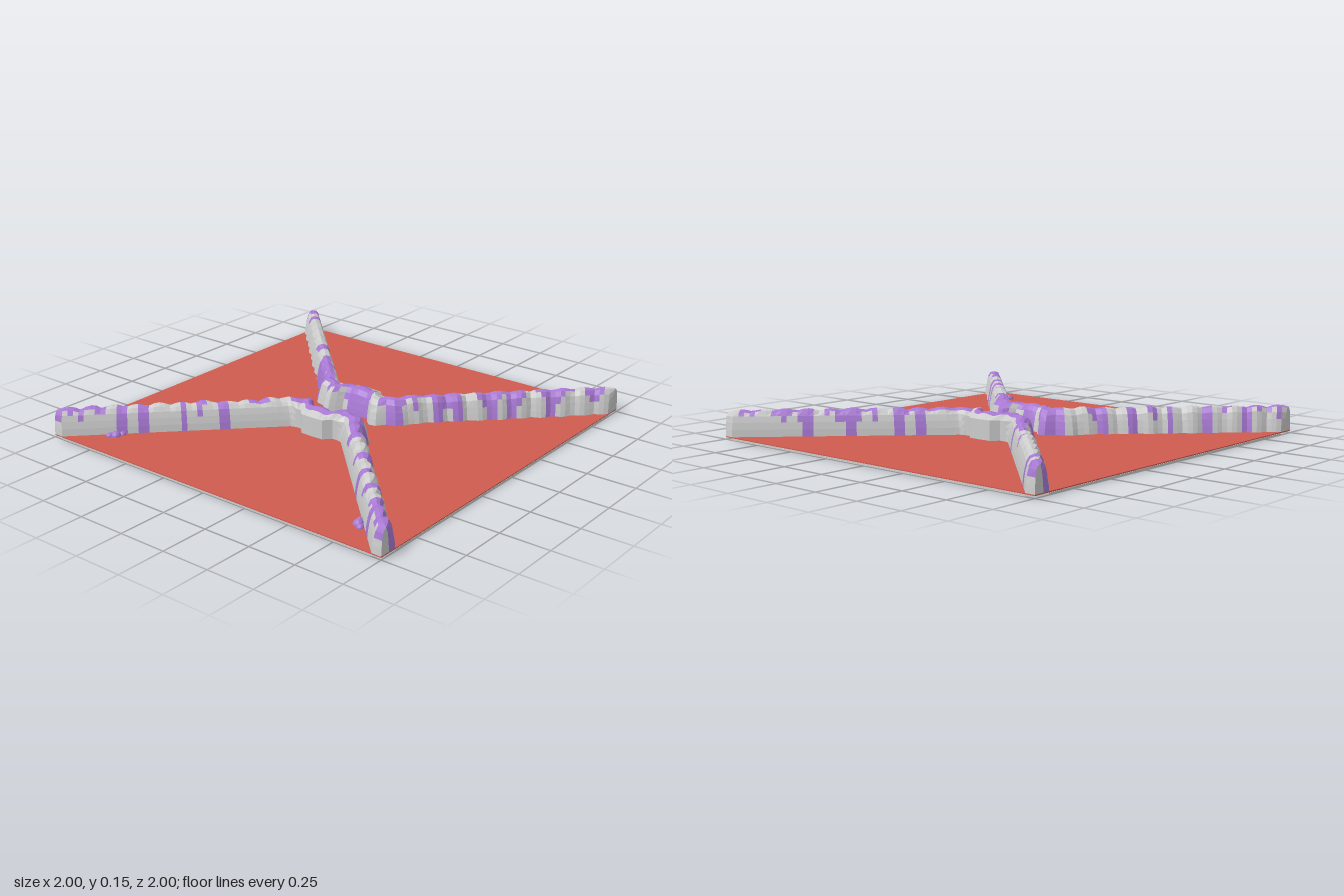
import * as THREE from 'three';

const stoneMat = new THREE.MeshStandardMaterial({ color: 0xcccccc, flatShading: true, side: THREE.DoubleSide });
const slimeMat = new THREE.MeshStandardMaterial({ color: 0xa878d4, flatShading: true, side: THREE.DoubleSide });
const floorMat = new THREE.MeshStandardMaterial({ color: 0xcf5b50 });
const slabMat = new THREE.MeshStandardMaterial({ color: 0xcccccc });

// Half plan of one wall, corner to middle: [outer x, outer z, inner x, inner z]
const half = [
  [1, 1, 1, 0.94], [0.95, 1, 1, 0.91], [0.2, 0.25, 0.3, 0.2], [0.16, 0.21, 0.285, 0.14],
  [0.15, 0.205, 0.25, 0.115], [0.13, 0.2, 0.2, 0.1], [0.115, 0.2, 0.17, 0.05],
  [0.1, 0.2, 0.13, 0.05], [0.065, 0.237, 0.08, 0.1], [0, 0.24, 0, 0.1],
];
const mirrored = half.slice(0, -1).reverse().map(([a, b, c, d]) => [-a, b, -c, d]);
const plan = [...half, ...mirrored];

// Wall profile from outer foot over the top to inner foot: [fraction across, height]
const profile = [
  [0, 0.015], [0.03, 0.05], [0.09, 0.085], [0.17, 0.115], [0.29, 0.133], [0.5, 0.141],
  [0.68, 0.136], [0.82, 0.113], [0.9, 0.08], [0.96, 0.045], [1, 0.015],
];

const hash = (n, seed) => {
  const v = Math.sin(n * 127.1 + seed * 311.7) * 43758.5453;
  return v - Math.floor(v);
};
const clamp = (v) => Math.max(-1, Math.min(1, v));

// Plan stations at short, even steps with running length
function stations() {
  const list = [];
  let s = 0;
  for (let i = 0; i < plan.length - 1; i++) {
    const a = plan[i], b = plan[i + 1];
    const len = Math.hypot((a[0] + a[2] - b[0] - b[2]) / 2, (a[1] + a[3] - b[1] - b[3]) / 2);
    const n = Math.max(1, Math.round(len / 0.026));
    for (let j = 0; j < n; j++) list.push({ p: a.map((v, k) => v + (b[k] - v) * j / n), s: s + len * j / n });
    s += len;
  }
  list.push({ p: plan[plan.length - 1], s });
  return list;
}

// Cross-section ring: boulder-like lumps on the top and inner face
function section({ p, s }, zSign, seed) {
  const cell = Math.floor(s / 0.11);
  const lump = Math.abs(Math.sin(Math.PI * s / 0.11)) * (0.6 + 0.4 * hash(cell, seed));
  const centre = Math.abs(p[0]) < 0.15;
  return profile.map(([u0, y0], r) => {
    let u = u0, y = y0;
    if (centre && r < 4) u = 0;
    if (r >= 4 && r <= 7) y += 0.014 * (lump - 0.4) + 0.004 * (hash(cell * 9 + r, seed) - 0.5);
    if (r >= 6) u += (lump - 0.55) * (centre ? 0.08 : 0.2);
    return new THREE.Vector3(
      clamp(p[0] + (p[2] - p[0]) * u), y, zSign * clamp(p[1] + (p[3] - p[1]) * u));
  });
}

function meshFrom(points, material, name) {
  const geometry = new THREE.BufferGeometry().setFromPoints(points);
  geometry.computeVertexNormals();
  const mesh = new THREE.Mesh(geometry, material);
  mesh.name = name;
  return mesh;
}

function makeWall(zSign, seed, name) {
  const list = stations();
  const rings = list.map((st) => section(st, zSign, seed));
  const stone = [], slime = [];
  const tri = (out, a, b, c) => out.push(...(zSign > 0 ? [a, b, c] : [a, c, b]));
  const rows = profile.length - 1;
  for (let k = 0; k < rings.length - 1; k++) {
    const { s, p } = list[k];
    const cell = Math.floor(s / 0.05);
    const centre = Math.abs(p[0]) < 0.28;
    // Slime lies on the top and drips down either face by an uneven amount
    const covered = hash(cell, seed + 3) < (centre ? 0.8 : 0.58);
    const outer = centre ? 4 : hash(cell, seed + 5) < 0.3 ? 0 : 2 + Math.floor(3 * hash(k, seed + 6));
    const inner = hash(cell, seed + 7) < 0.35 ? rows : 6 + Math.floor(3 * hash(k, seed + 8));
    for (let r = 0; r < rows; r++) {
      const out = covered && r >= outer && r < inner ? slime : stone;
      const a = rings[k][r], b = rings[k][r + 1], c = rings[k + 1][r + 1], d = rings[k + 1][r];
      tri(out, a, b, c);
      tri(out, a, c, d);
    }
  }
  // End caps
  const first = rings[0], last = rings[rings.length - 1];
  for (let r = 1; r < rows; r++) {
    tri(stone, first[0], first[r + 1], first[r]);
    tri(stone, last[0], last[r], last[r + 1]);
  }
  const wall = new THREE.Group();
  wall.name = name;
  wall.add(meshFrom(stone, stoneMat, name + 'Stone'), meshFrom(slime, slimeMat, name + 'Slime'));
  return wall;
}

// Flat slab from an outline of [x, z] points
function makeSlab(outline, name) {
  const shape = new THREE.Shape(outline.map(([x, z]) => new THREE.Vector2(x, z)));
  const geometry = new THREE.ExtrudeGeometry(shape, { depth: 0.009, bevelEnabled: false });
  geometry.rotateX(Math.PI / 2).translate(0, 0.009, 0);
  const mesh = new THREE.Mesh(geometry, slabMat);
  mesh.name = name;
  return mesh;
}

export function createModel() {
  const model = new THREE.Group();
  model.name = 'walledFloor';

  // Coloured floor sheet
  const floor = new THREE.Mesh(new THREE.BoxGeometry(2, 0.005, 2), floorMat);
  floor.position.y = 0.0125;
  floor.name = 'floor';
  model.add(floor);

  // Ground slabs below, left open under the walls
  const outerLine = plan.slice(1, -1).map((p) => [p[0], p[1]]);
  const innerLine = plan.slice(1, -1).map((p) => [p[2], p[3]]);
  const flip = (line) => line.map(([x, z]) => [x, -z]);
  model.add(
    makeSlab(outerLine, 'frontSlab'),
    makeSlab(flip(outerLine), 'backSlab'),
    makeSlab([...innerLine, ...flip(innerLine).reverse()], 'middleSlab'));

  // Two stone walls
  model.add(makeWall(1, 1, 'frontWall'), makeWall(-1, 2, 'backWall'));

  // Slime puddles at the foot of the front wall
  for (const side of [-1, 1]) {
    for (const [x, z, r] of [[0.75, 0.83, 0.026], [0.775, 0.85, 0.018], [0.735, 0.8, 0.018]]) {
      const blob = new THREE.Mesh(new THREE.SphereGeometry(r, 8, 4, 0, Math.PI * 2, 0, Math.PI / 2), slimeMat);
      blob.position.set(side * x, 0.014, z);
      blob.name = 'slimePuddle';
      model.add(blob);
    }
  }
  return model;
}
